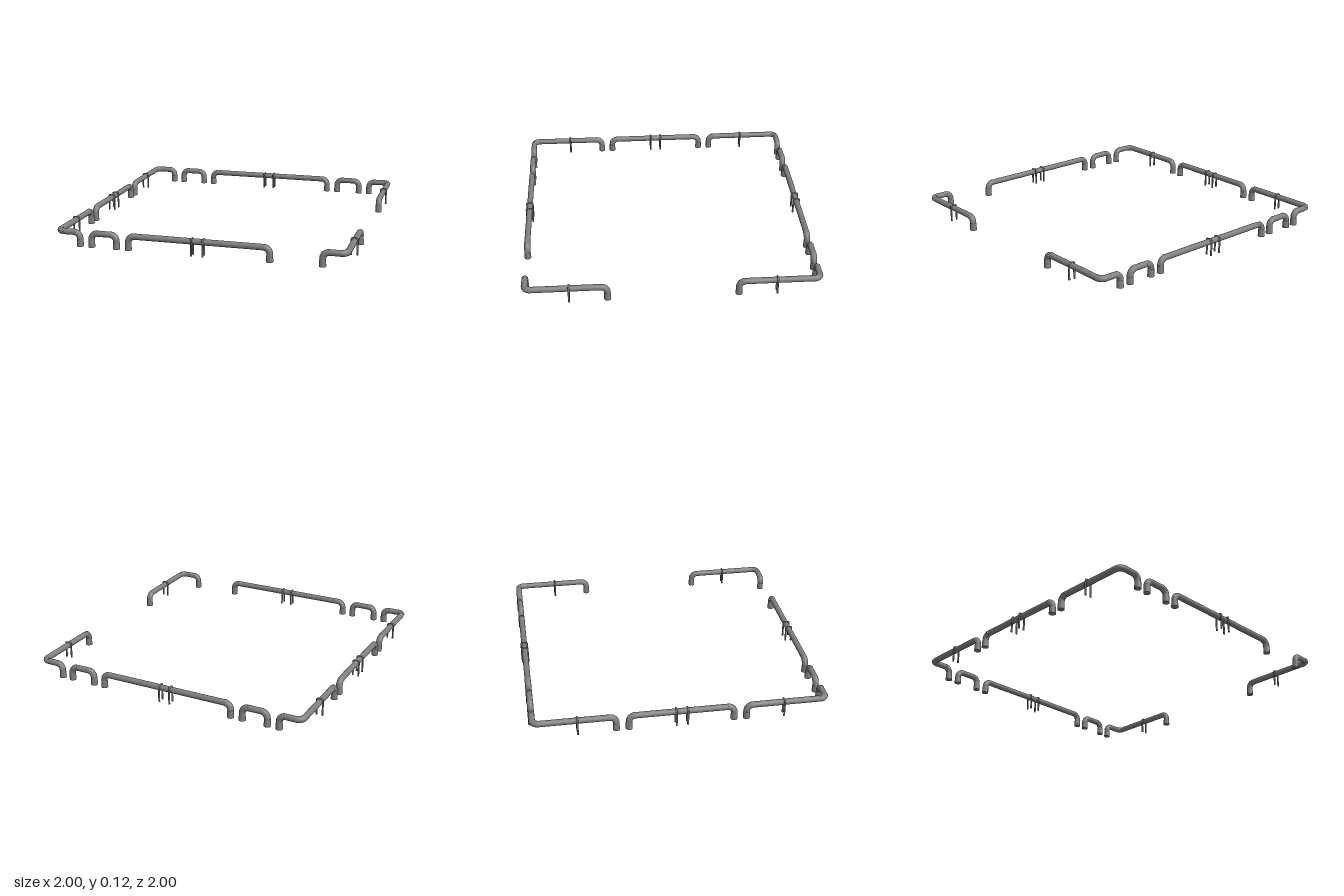
import * as THREE from 'three';

const EDGE = 0.973;    // distance of the pipe runs from the centre
const HEIGHT = 0.095;  // pipe axis height
const R = 0.0205;      // pipe radius
const BEND = 0.042;    // elbow radius
const UP = new THREE.Vector3(0, 1, 0);
const darkGrey = new THREE.MeshStandardMaterial({ color: 0x808080 });
const v = (x, y, z) => new THREE.Vector3(x, y, z);

// Quarter-circle fillet from a to b around the corner c
class Fillet extends THREE.Curve {
  constructor(a, c, b) {
    super();
    Object.assign(this, { a, c, b });
  }
  getPoint(t, target = new THREE.Vector3()) {
    const angle = t * Math.PI / 2;
    const centre = this.a.clone().add(this.b).sub(this.c);
    return target.copy(centre)
      .addScaledVector(this.a.clone().sub(centre), Math.cos(angle))
      .addScaledVector(this.b.clone().sub(centre), Math.sin(angle));
  }
}

function addMesh(group, geometry, name) {
  const mesh = new THREE.Mesh(geometry, darkGrey);
  mesh.name = name;
  group.add(mesh);
  return mesh;
}

function addStraight(group, a, b, radius, sides, name) {
  const dir = b.clone().sub(a);
  const mesh = addMesh(group, new THREE.CylinderGeometry(radius, radius, dir.length(), sides), name);
  mesh.position.copy(a).add(b).multiplyScalar(0.5);
  mesh.quaternion.setFromUnitVectors(UP, dir.normalize());
}

// Straight lengths joined by round elbows along right-angled corner points
function addRoute(group, points, radius, elbowRadius, bend, sides, name) {
  let start = points[0];
  for (let i = 1; i < points.length - 1; i++) {
    const c = points[i];
    const toward = p => c.clone().addScaledVector(p.clone().sub(c).normalize(), bend);
    const a = toward(points[i - 1]), b = toward(points[i + 1]);
    addStraight(group, start, a, radius, sides, name);
    addMesh(group, new THREE.TubeGeometry(new Fillet(a, c, b), 8, elbowRadius, sides), name + 'Elbow');
    start = b;
  }
  addStraight(group, start, points[points.length - 1], radius, sides, name);
}

// Pipe through the given ground points, turned down to the floor at both ends
function pipeRun(name, plan) {
  const group = new THREE.Group();
  group.name = name;
  const top = plan.map(([x, z]) => v(x, HEIGHT, z));
  const ends = [plan[0], plan[plan.length - 1]].map(([x, z]) => v(x, 0, z));
  addRoute(group, [ends[0], ...top, ends[1]], R, R + 0.001, BEND, 20, 'pipe');
  for (const end of ends) {
    const foot = addMesh(group, new THREE.CylinderGeometry(R + 0.001, R + 0.003, 0.052, 20), 'footCollar');
    foot.position.copy(end).setY(0.026);
  }
  return group;
}

// Inverted U rod straddling the pipe; alongX tells which way the pipe runs
function clip(x, z, alongX) {
  const group = new THREE.Group();
  group.name = 'supportClip';
  const w = 0.0205, h = 0.1135, r = 0.0065;
  addRoute(group, [v(-w, 0, 0), v(-w, h, 0), v(w, h, 0), v(w, 0, 0)], r, r, 0.008, 8, 'clipRod');
  group.position.set(x, 0, z);
  if (alongX) group.rotation.y = Math.PI / 2;
  return group;
}

export function createModel() {
  const model = new THREE.Group();
  model.name = 'pipeBarrier';

  // Four corner runs
  for (const sx of [-1, 1]) for (const sz of [-1, 1]) {
    model.add(pipeRun('cornerRun', [[sx * 0.82, sz * EDGE], [sx * EDGE, sz * EDGE], [sx * EDGE, sz * 0.433]]));
    model.add(clip(sx * EDGE, sz * 0.685, false));
  }

  // Long runs at front and back, each with a pair of clips
  for (const sz of [-1, 1]) {
    model.add(pipeRun('longRun', [[-0.479, sz * EDGE], [0.479, sz * EDGE]]));
    for (const x of [-0.038, 0.038]) model.add(clip(x, sz * EDGE, true));
  }

  // Short hoops; the front left gap stays open as an entrance
  for (const [sx, sz] of [[-1, -1], [1, -1], [-1, 1]]) {
    model.add(pipeRun('shortHoop', [[sx * 0.738, sz * EDGE], [sx * 0.562, sz * EDGE]]));
  }

  // Middle run on the right side only
  model.add(pipeRun('sideRun', [[-EDGE, -0.349], [-EDGE, 0.349]]));
  for (const z of [-0.038, 0.038]) model.add(clip(-EDGE, z, false));

  return model;
}
